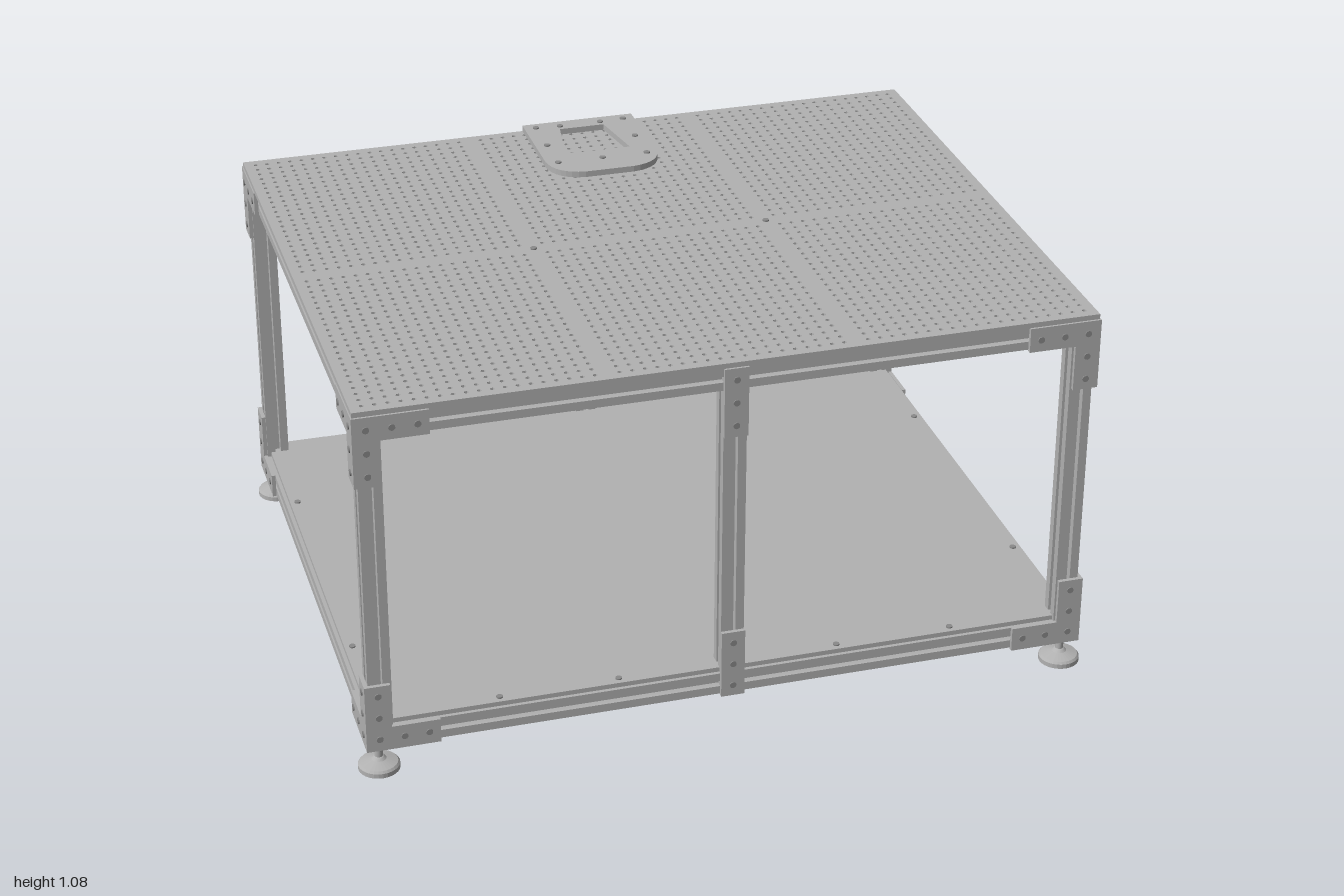
import * as THREE from 'three';

export function createModel() {
  const model = new THREE.Group();
  const grey = new THREE.MeshStandardMaterial({ color: 0xb2b2b2 });
  grey.name = 'aluminium grey';
  const dark = new THREE.MeshStandardMaterial({ color: 0x8a8a8a });
  dark.name = 'fastener grey';

  const X = 0.97, Z = 0.775, H = 0.031; // frame outer half sizes, half bar width
  const LOW = 0.08, HIGH = 1.045;
  const legX = X - H, legZ = Z - H;

  const add = (name, geometry, x, y, z, material = grey, parent = model) => {
    const mesh = new THREE.Mesh(geometry, material);
    mesh.name = name;
    mesh.position.set(x, y, z);
    parent.add(mesh);
    return mesh;
  };
  const box = (name, w, h, d, x, y, z) => add(name, new THREE.BoxGeometry(w, h, d), x, y, z);
  const extrude = (shape, depth) => new THREE.ExtrudeGeometry(shape, { depth, bevelEnabled: false, curveSegments: 8 });

  // Square bar section with a T-slot in each side
  const section = [];
  for (let i = 0; i < 4; i++) {
    for (const [a, b] of [[-H, -H], [-0.008, -H], [-0.008, -0.023], [-0.014, -0.023], [-0.007, -0.014],
      [0.007, -0.014], [0.014, -0.023], [0.008, -0.023], [0.008, -H]]) {
      const t = i * Math.PI / 2, c = Math.cos(t), s = Math.sin(t);
      section.push(new THREE.Vector2(a * c - b * s, a * s + b * c));
    }
  }
  const barShape = new THREE.Shape(section);
  const bar = (name, axis, length, x, y, z) => {
    const g = extrude(barShape, length).translate(0, 0, -length / 2);
    if (axis === 'x') g.rotateY(Math.PI / 2);
    if (axis === 'y') g.rotateX(Math.PI / 2);
    return add(name, g, x, y, z);
  };

  // Legs, including the middle pair
  for (const sz of [-1, 1]) for (const sx of [-1, 0, 1])
    bar(sx ? 'cornerLeg' : 'middleLeg', 'y', HIGH - LOW, sx * legX, (HIGH + LOW) / 2, sz * legZ);

  // Upper and lower rails
  for (const [level, y] of [['lower', LOW + H], ['upper', HIGH - H]]) {
    for (const s of [-1, 1]) {
      for (const half of [-1, 1])
        bar(level + 'LongRail', 'x', legX - 2 * H, half * legX / 2, y, s * legZ);
      bar(level + 'SideRail', 'z', 2 * (legZ - H), s * legX, y, 0);
    }
  }
  bar('lowerCrossBeam', 'z', 2 * (legZ - H), 0, LOW + H, 0);

  // Beams under the tabletop, forming six bays
  const PW = 0.652, PD = 0.78; // one tabletop panel
  for (const s of [-1, 1]) {
    bar('upperCrossBeam', 'z', 2 * (legZ - H), s * PW / 2, HIGH - H, 0);
    bar('upperCentreBeam', 'x', legX - H - PW / 2 - H, s * (legX + PW / 2) / 2, HIGH - H, 0);
  }
  bar('upperCentreBeam', 'x', PW - 2 * H, 0, HIGH - H, 0);

  // Small triangular brackets in the bay corners
  const bayEdges = [-legX, -PW / 2, PW / 2, legX];
  const triangle = new THREE.Shape([[0, 0], [0.055, 0], [0, 0.055]].map(p => new THREE.Vector2(...p)));
  const cornerGeometry = extrude(triangle, 0.03).rotateX(-Math.PI / 2);
  for (let i = 0; i < 3; i++) for (const [z0, z1] of [[-legZ, 0], [0, legZ]]) {
    const x0 = bayEdges[i] + H, x1 = bayEdges[i + 1] - H;
    [[x0, z1 - H], [x1, z1 - H], [x1, z0 + H], [x0, z0 + H]].forEach(([x, z], k) => {
      add('bayCornerBracket', cornerGeometry, x, HIGH - 0.045, z).rotation.y = k * Math.PI / 2;
    });
  }

  // Perforated tabletop in six equal panels
  const panelShape = new THREE.Shape([[-PW / 2, -PD / 2], [PW / 2, -PD / 2], [PW / 2, PD / 2], [-PW / 2, PD / 2]]
    .map(p => new THREE.Vector2(...p)));
  const pitch = 0.0327;
  for (let i = -9; i <= 9; i++) for (let j = -11; j <= 11; j++) {
    const hole = [];
    for (let k = 0; k < 6; k++) {
      const t = -k * Math.PI / 3;
      hole.push(new THREE.Vector2(i * pitch + 0.0065 * Math.cos(t), j * pitch + 0.0065 * Math.sin(t)));
    }
    panelShape.holes.push(new THREE.Path(hole));
  }
  const panelGeometry = extrude(panelShape, 0.016).rotateX(-Math.PI / 2);
  for (const i of [-1, 0, 1]) for (const j of [-0.5, 0.5])
    add('tabletopPanel', panelGeometry, i * PW, HIGH, j * PD);

  // Bolt heads
  const boltGeometry = new THREE.CylinderGeometry(0.009, 0.009, 0.004, 10);
  const bolt = (x, y, z, parent = model) => add('bolt', boltGeometry, x, y, z, dark, parent);
  for (const x of [-PW / 2, PW / 2]) bolt(x, HIGH + 0.018, 0);

  // Floor panel with its screws
  box('floorPanel', 1.92, 0.013, 1.53, 0, 0.1487, 0);
  for (const s of [-1, 1]) {
    for (const x of [-0.62, -0.3, 0.3, 0.62]) bolt(x, 0.157, s * legZ);
    for (const z of [-0.4, 0.4]) bolt(s * legX, 0.157, z);
  }

  // L-shaped corner plates; drawn from the outer corner at the origin
  const L = 0.195, W = 0.068, T = 0.011;
  const lShape = new THREE.Shape([[0, 0], [L, 0], [L, W], [W, W], [W, L], [0, L]].map(p => new THREE.Vector2(...p)));
  const mirroredShape = new THREE.Shape(lShape.getPoints().map(p => new THREE.Vector2(-p.x, p.y)));
  const plate = (mirrored, top) => {
    const group = new THREE.Group(), spin = top ? Math.PI : 0;
    group.name = 'cornerPlate';
    // A half turn swaps the side, so use the other hand at the top
    const flip = mirrored !== top;
    add('plate', extrude(flip ? mirroredShape : lShape, T), 0, 0, 0, grey, group).rotation.z = spin;
    const dx = mirrored ? -1 : 1, dy = top ? -1 : 1;
    for (const [a, b] of [[0.035, 0.035], [0.1, 0.035], [0.165, 0.035], [0.035, 0.1], [0.035, 0.165]])
      bolt(dx * a, dy * b, T + 0.001, group).rotation.x = Math.PI / 2;
    model.add(group);
    return group;
  };
  for (const top of [false, true]) {
    const y = top ? HIGH + 0.002 : LOW - 0.004;
    for (const face of [0, 1, 2, 3]) { // front, left, back, right
      const halfWidth = (face % 2 ? Z : X) + T, distance = face % 2 ? X : Z;
      const turn = face * Math.PI / 2, c = Math.cos(turn), s = Math.sin(turn);
      for (const side of [-1, 1]) {
        const p = plate(side > 0, top);
        const u = side * halfWidth;
        p.position.set(u * c + distance * s, y, -u * s + distance * c);
        p.rotation.y = turn;
      }
    }
    // Straight plates on the middle legs
    for (const s of [-1, 1]) {
      const cy = top ? y - L / 2 : y + L / 2;
      box('middlePlate', 0.064, L, T, 0, cy, s * (Z + T / 2));
      for (const d of [-0.065, 0, 0.065]) bolt(0, cy + d, s * (Z + T + 0.001)).rotation.x = Math.PI / 2;
    }
  }

  // Levelling feet: domed pad, spindle and nut
  const footProfile = [[0, 0], [0.055, 0], [0.055, 0.013], [0.05, 0.019], [0.02, 0.028], [0.014, 0.034],
    [0.011, 0.036], [0.011, 0.085], [0, 0.085]].map(p => new THREE.Vector2(...p));
  const footGeometry = new THREE.LatheGeometry(footProfile, 28).toNonIndexed();
  footGeometry.computeVertexNormals();
  for (const sx of [-1, 1]) for (const sz of [-1, 1]) {
    add('levellingFoot', footGeometry, sx * 0.944, 0, sz * 0.745);
    add('footNut', new THREE.CylinderGeometry(0.02, 0.02, 0.012, 6), sx * 0.944, 0.07, sz * 0.745);
  }

  // Mounting plate on the back edge of the tabletop, with a tapered opening
  const mount = new THREE.Shape();
  mount.moveTo(-0.163, 0.78);
  mount.lineTo(-0.163, 0.51);
  mount.quadraticCurveTo(-0.155, 0.425, -0.07, 0.415);
  mount.lineTo(0.07, 0.415);
  mount.quadraticCurveTo(0.155, 0.425, 0.163, 0.51);
  mount.lineTo(0.163, 0.78);
  mount.holes.push(new THREE.Path([[-0.065, 0.725], [0.065, 0.725], [0.095, 0.55], [-0.095, 0.55]]
    .map(p => new THREE.Vector2(...p))));
  add('mountingPlate', extrude(mount, 0.017).rotateX(-Math.PI / 2), 0, HIGH + 0.016, 0);
  for (const [x, z] of [[-0.13, -0.75], [0.13, -0.75], [-0.06, -0.745], [0.06, -0.745], [-0.13, -0.62], [0.13, -0.62],
    [-0.13, -0.495], [0, -0.495], [0.13, -0.495]]) bolt(x, HIGH + 0.0345, z);

  return model;
}
